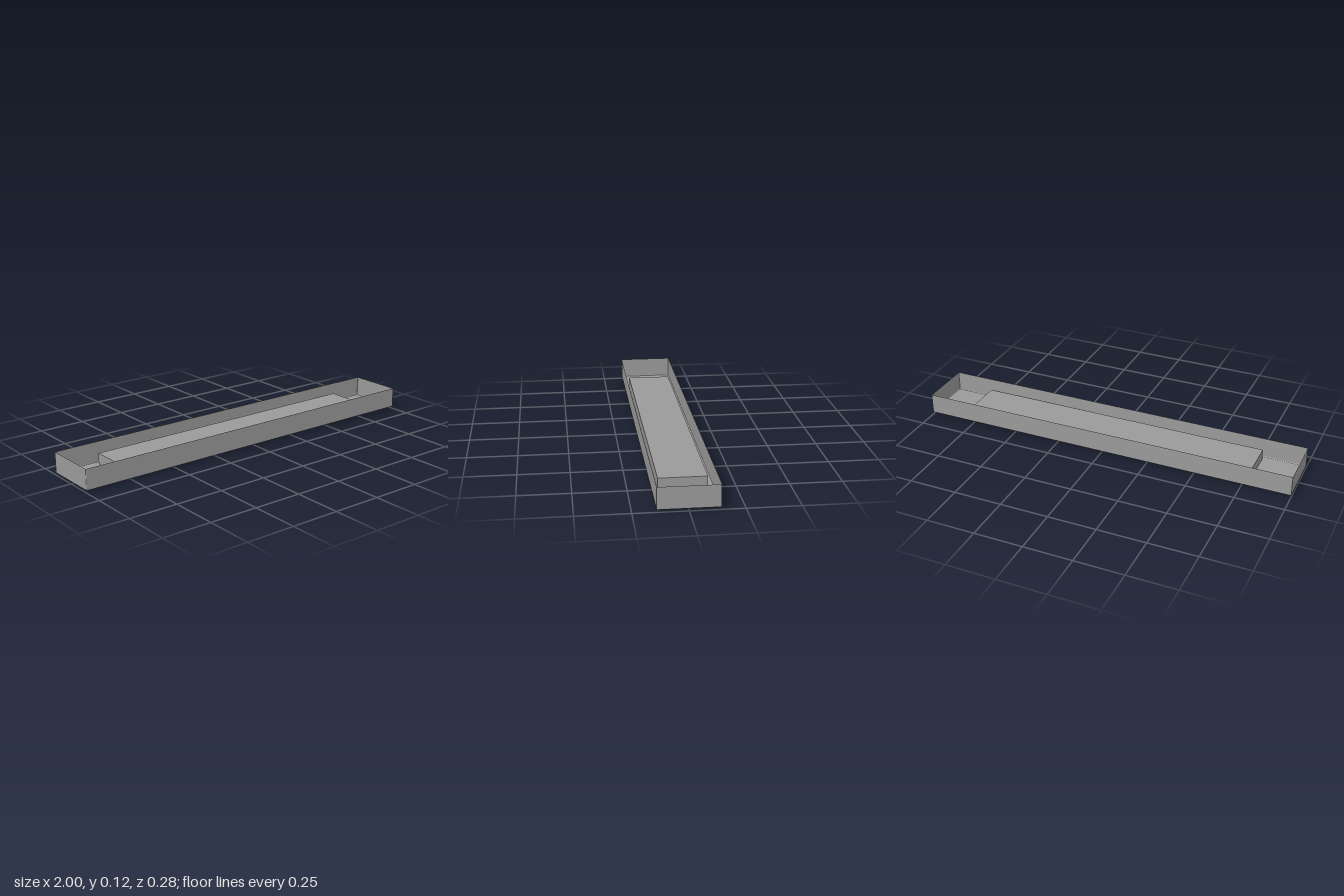
import * as THREE from 'three';
import { mergeVertices } from 'three/addons/utils/BufferGeometryUtils.js';

const HALF_X = 1, HALF_Z = 0.142, TOP = 0.118, FLOOR = 0.012, EDGE = 0.005;
const RECESS_X = 0.78, RECESS_Z = 0.115, RECESS_TOP = 0.068;
const TUBE_R = 0.023, TUBE_LENGTH = 1.5, TUBE_Z = 0.057;

const material = new THREE.MeshStandardMaterial({ color: 0x9a9a9a, side: THREE.DoubleSide });

function addMesh(parent, name, geometry) {
  const mesh = new THREE.Mesh(geometry, material);
  mesh.name = name;
  parent.add(mesh);
  return mesh;
}

// Square-cornered wall and lower rim, with narrow bands that shade softly around the edges
function softEdgedWall() {
  const eighth = Math.PI / 4;
  const levels = [
    { y: TOP, tilt: 0 },
    { y: FLOOR + EDGE, tilt: 0 },
    { y: FLOOR, tilt: eighth },
    { y: FLOOR, tilt: 2 * eighth },
  ];
  const positions = [], normals = [], index = [];
  const count = 12;
  for (const { y, tilt } of levels) {
    const reach = EDGE * Math.round(Math.cos(tilt));
    for (let corner = 0; corner < 4; corner++) {
      const cx = (corner === 0 || corner === 3 ? 1 : -1) * (HALF_X - EDGE);
      const cz = (corner < 2 ? 1 : -1) * (HALF_Z - EDGE);
      for (let s = 0; s < 3; s++) {
        const a = (2 * corner + s) * eighth;
        const nx = Math.cos(a), nz = Math.sin(a);
        positions.push(cx + reach * Math.round(nx), y, cz + reach * Math.round(nz));
        normals.push(nx * Math.cos(tilt), -Math.sin(tilt), nz * Math.cos(tilt));
      }
    }
  }
  for (let l = 0; l < levels.length - 1; l++) {
    for (let i = 0; i < count; i++) {
      const a = l * count + i, b = l * count + ((i + 1) % count);
      index.push(a, b, a + count, b, b + count, a + count);
    }
  }
  const geometry = new THREE.BufferGeometry();
  geometry.setAttribute('position', new THREE.Float32BufferAttribute(positions, 3));
  geometry.setAttribute('normal', new THREE.Float32BufferAttribute(normals, 3));
  geometry.setIndex(index);
  return geometry;
}

// Eight-sided tube whose end caps share smooth normals with its side
function smoothTube() {
  const geometry = new THREE.CylinderGeometry(TUBE_R, TUBE_R, TUBE_LENGTH, 8).rotateZ(Math.PI / 2);
  geometry.deleteAttribute('uv');
  geometry.deleteAttribute('normal');
  const merged = mergeVertices(geometry);
  merged.computeVertexNormals();
  return merged;
}

function rectangle(Type, hx, hz) {
  return new Type([[-hx, -hz], [hx, -hz], [hx, hz], [-hx, hz]].map(([x, z]) => new THREE.Vector2(x, z)));
}

export function createModel() {
  const model = new THREE.Group();
  model.name = 'lightFixture';

  // Thin tray, open on top, with an opening in its underside
  const housing = new THREE.Group();
  housing.name = 'housing';
  model.add(housing);
  addMesh(housing, 'housingWalls', softEdgedWall());
  const plate = rectangle(THREE.Shape, HALF_X - EDGE, HALF_Z - EDGE);
  plate.holes.push(rectangle(THREE.Path, RECESS_X, RECESS_Z));
  addMesh(housing, 'bottomPlate', new THREE.ShapeGeometry(plate).rotateX(Math.PI / 2).translate(0, FLOOR, 0));

  // Recess raised into the tray and open below
  const recess = new THREE.Group();
  recess.name = 'recess';
  model.add(recess);
  const height = RECESS_TOP - FLOOR, middle = (RECESS_TOP + FLOOR) / 2;
  addMesh(recess, 'recessCeiling',
    new THREE.PlaneGeometry(2 * RECESS_X, 2 * RECESS_Z).rotateX(-Math.PI / 2).translate(0, RECESS_TOP, 0));
  for (const side of [1, -1]) {
    const turn = side > 0 ? 0 : Math.PI;
    addMesh(recess, 'recessSide',
      new THREE.PlaneGeometry(2 * RECESS_X, height).translate(0, middle, RECESS_Z).rotateY(turn));
    addMesh(recess, 'recessEnd',
      new THREE.PlaneGeometry(2 * RECESS_Z, height).translate(0, middle, RECESS_X).rotateY(turn + Math.PI / 2));
  }

  // Pair of lamp tubes hanging slightly below the housing
  for (const side of [1, -1]) {
    const tube = addMesh(model, side > 0 ? 'frontTube' : 'backTube', smoothTube());
    tube.position.set(0, TUBE_R, side * TUBE_Z);
  }

  return model;
}
